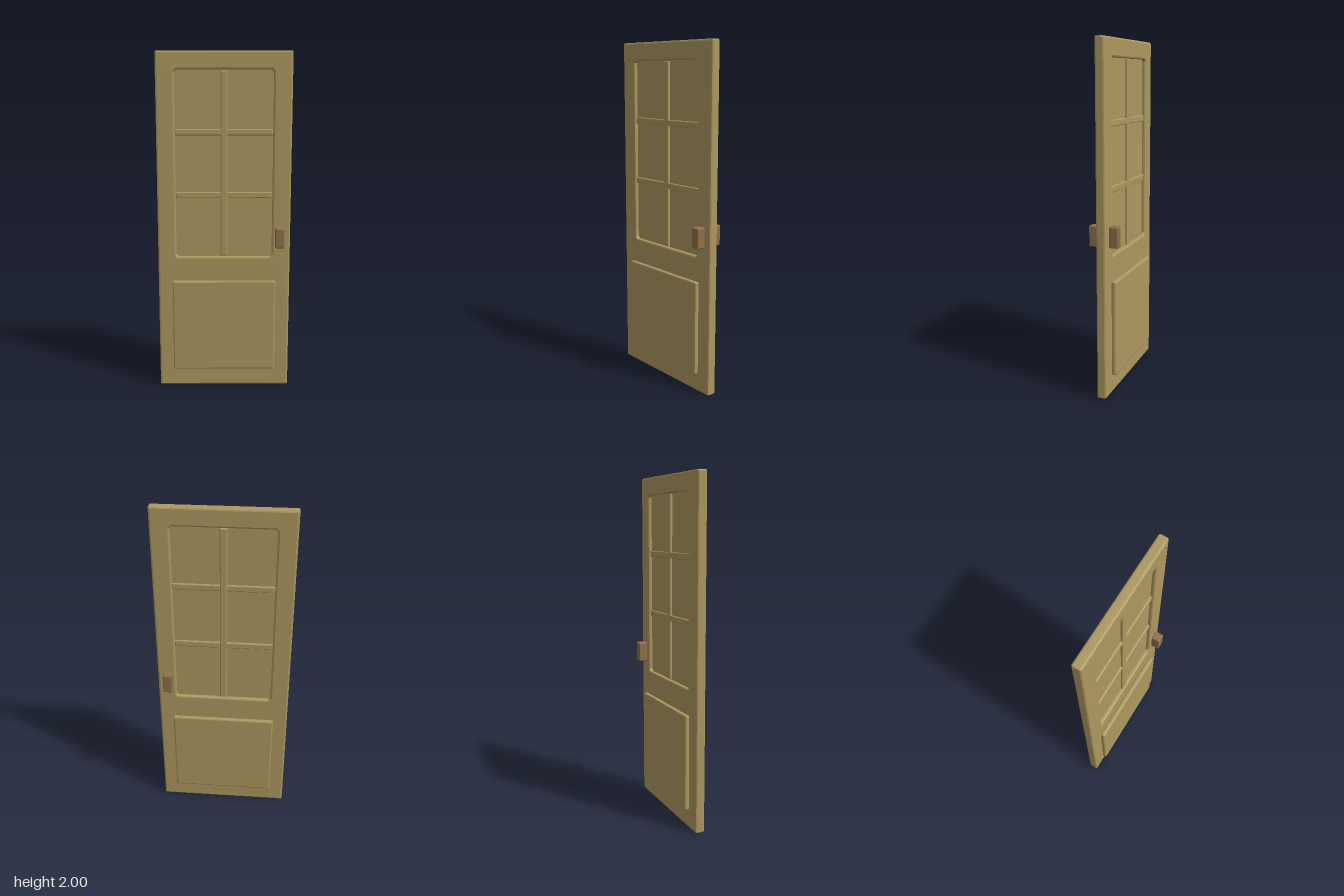
import * as THREE from 'three';

const wood = new THREE.MeshStandardMaterial({ color: 0xad985f });
wood.name = 'wood';
const handleWood = new THREE.MeshStandardMaterial({ color: 0x90704a });
handleWood.name = 'handleWood';

// Rectangle outline with slightly cut corners
function rect(PathType, x0, y0, x1, y1, c) {
  const p = new PathType();
  p.moveTo(x0 + c, y0);
  p.lineTo(x1 - c, y0);
  p.lineTo(x1, y0 + c);
  p.lineTo(x1, y1 - c);
  p.lineTo(x1 - c, y1);
  p.lineTo(x0 + c, y1);
  p.lineTo(x0, y1 - c);
  p.lineTo(x0, y0 + c);
  p.closePath();
  return p;
}

// Bevelled slab between z0 and z1; the bevel stays inside the outline
function slab(name, shape, z0, z1, bevel, material) {
  const geometry = new THREE.ExtrudeGeometry(shape, {
    depth: z1 - z0 - 2 * bevel,
    bevelEnabled: true,
    bevelThickness: bevel,
    bevelSize: bevel,
    bevelOffset: -bevel,
    bevelSegments: 2,
  });
  geometry.translate(0, 0, z0 + bevel);
  const mesh = new THREE.Mesh(geometry, material);
  mesh.name = name;
  return mesh;
}

export function createModel() {
  const door = new THREE.Group();
  door.name = 'door';

  // Main frame with the window opening
  const frame = rect(THREE.Shape, -0.39, 0, 0.39, 2, 0.006);
  frame.holes.push(rect(THREE.Path, -0.283, 0.812, 0.283, 1.895, 0.012));
  door.add(slab('frame', frame, -0.028, 0.028, 0.01, wood));

  // Recessed window pane
  const pane = new THREE.Mesh(new THREE.BoxGeometry(0.59, 1.11, 0.012), wood);
  pane.name = 'windowPane';
  pane.position.set(0, 1.354, 0);
  door.add(pane);

  // Glazing bars
  const bar = (name, x0, y0, x1, y1, z) =>
    door.add(slab(name, rect(THREE.Shape, x0, y0, x1, y1, 0.002), -z, z, 0.006, wood));
  bar('verticalBar', -0.02, 0.815, 0.02, 1.89, 0.02);
  for (const y of [1.18, 1.545]) bar('horizontalBar', -0.282, y - 0.018, 0.282, y + 0.018, 0.018);

  // Raised lower panel and handle on each face
  for (const side of [1, -1]) {
    const [p0, p1] = side > 0 ? [0.028, 0.056] : [-0.056, -0.028];
    const [h0, h1] = side > 0 ? [0.031, 0.083] : [-0.085, -0.033];
    const label = side > 0 ? 'front' : 'back';
    door.add(slab(label + 'Panel', rect(THREE.Shape, -0.305, 0.113, 0.305, 0.668, 0.005), p0, p1, 0.008, wood));
    door.add(slab(label + 'Handle', rect(THREE.Shape, 0.3, 0.875, 0.353, 0.992, 0.004), h0, h1, 0.005, handleWood));
  }

  return door;
}
